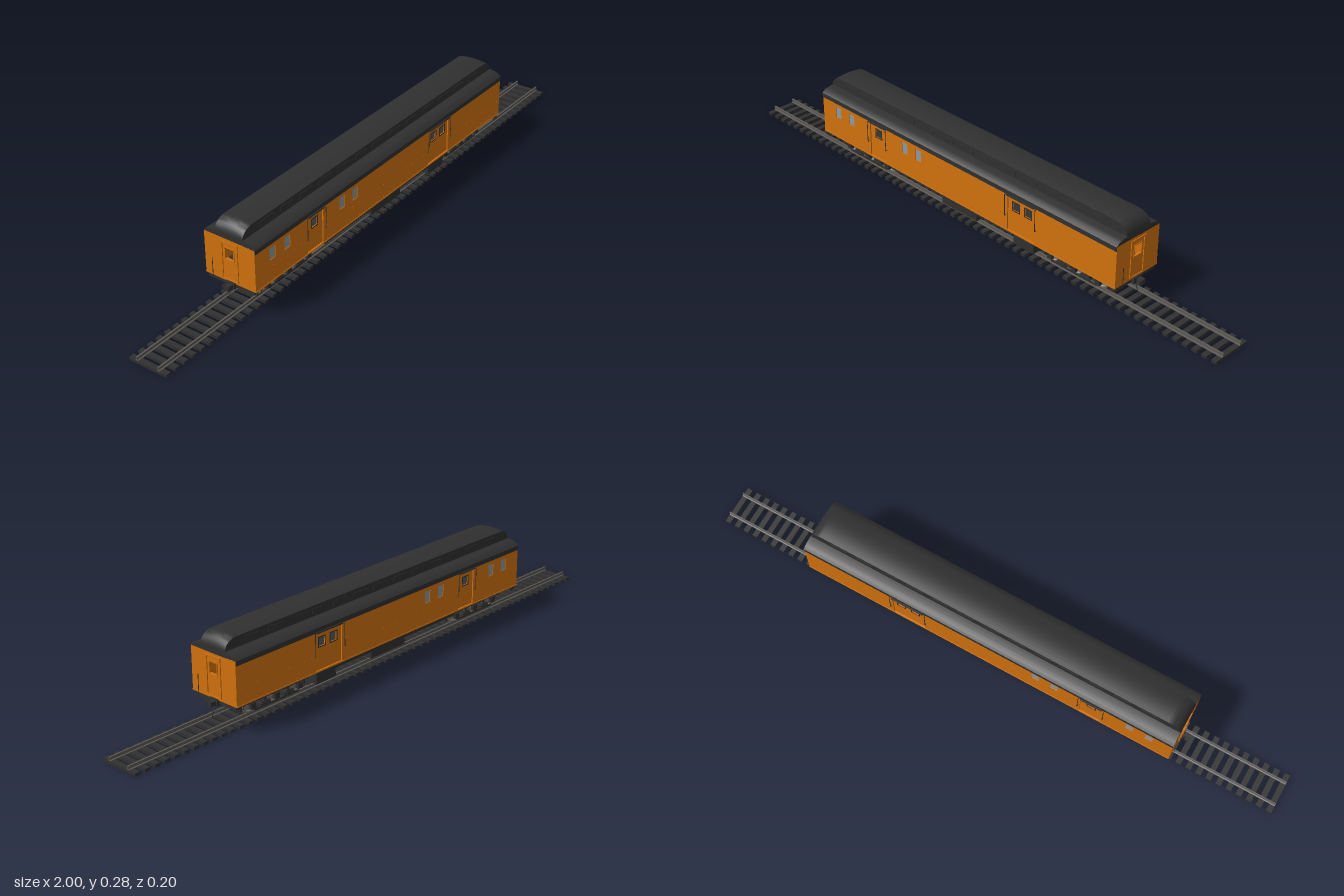
import * as THREE from 'three';
import { mergeGeometries, toCreasedNormals } from 'three/addons/utils/BufferGeometryUtils.js';

const paint = (name, color, extra = {}) => Object.assign(new THREE.MeshStandardMaterial({ color, ...extra }), { name });

// Box from its limits on each axis
function box(x0, x1, y0, y1, z0, z1) {
  return new THREE.BoxGeometry(x1 - x0, y1 - y0, z1 - z0)
    .translate((x0 + x1) / 2, (y0 + y1) / 2, (z0 + z1) / 2);
}

// Round bar between two points
function bar(a, b, r) {
  const path = new THREE.LineCurve3(new THREE.Vector3(...a), new THREE.Vector3(...b));
  return new THREE.TubeGeometry(path, 1, r, 6);
}

// Rectangular panel with rectangular holes, each given as [u0, u1, y0, y1]
function panel(outline, holes, depth) {
  const trace = (path, [a, b, c, d]) => {
    path.moveTo(a, c); path.lineTo(b, c); path.lineTo(b, d); path.lineTo(a, d); path.closePath();
    return path;
  };
  const shape = trace(new THREE.Shape(), outline);
  for (const h of holes) shape.holes.push(trace(new THREE.Path(), h));
  return new THREE.ExtrudeGeometry(shape, { depth, bevelEnabled: false });
}

// Profile of [z, y] points run along x
function alongX(points, x0, x1) {
  const shape = new THREE.Shape(points.map(([z, y]) => new THREE.Vector2(-z, y)));
  return new THREE.ExtrudeGeometry(shape, { depth: x1 - x0, bevelEnabled: false })
    .rotateY(Math.PI / 2).translate(x0, 0, 0);
}

// Skin over cross-sections; each section is a row of [x, y, z]
function loft(rows) {
  const n = rows[0].length, index = [];
  for (let i = 0; i < rows.length - 1; i++) for (let j = 0; j < n - 1; j++) {
    const a = i * n + j, b = a + n;
    index.push(a, b, b + 1, a, b + 1, a + 1);
  }
  const g = new THREE.BufferGeometry();
  g.setAttribute('position', new THREE.Float32BufferAttribute(rows.flat(2), 3));
  g.setIndex(index);
  return toCreasedNormals(g, 0.6);
}

export function createModel() {
  const orange = paint('body orange', 0xd2720d);
  const black = paint('roof black', 0x303030);
  const roofBlack = paint('clerestory black', 0x303030, { side: THREE.DoubleSide });
  const steel = paint('wheel steel', 0x77746f);
  const railGrey = paint('rail grey', 0x5c5955);
  const glass = paint('window glass', 0x8e9aa2);
  const model = new THREE.Group();
  const add = (name, parts, mat, parent = model) => {
    const list = [].concat(parts).map(g => (g.index ? g.toNonIndexed() : g));
    const mesh = new THREE.Mesh(list.length > 1 ? mergeGeometries(list) : list[0], mat);
    mesh.name = name;
    parent.add(mesh);
    return mesh;
  };
  const L = 0.648, W = 0.092, FLOOR = 0.085, EAVE = 0.228;

  // Track: ties and two rails
  const ties = [], count = 58;
  for (let i = 0; i < count; i++) {
    const x = -0.991 + (1.982 * i) / (count - 1);
    ties.push(box(x - 0.009, x + 0.009, 0, 0.01, -0.068, 0.068));
  }
  add('ties', ties, black);
  const railHalf = [[0.005, 0.01], [0.005, 0.012], [0.001, 0.013], [0.001, 0.019], [0.0026, 0.02], [0.0026, 0.023]];
  const railProfile = [...railHalf, ...railHalf.map(([z, y]) => [-z, y]).reverse()];
  for (const s of [1, -1]) add('rail', alongX(railProfile.map(([z, y]) => [z + s * 0.039, y]), -1, 1), railGrey);

  // Side walls with windows, doors and fittings
  const windows = [-0.57, -0.503, -0.243, -0.178].map(x => [x - 0.013, x + 0.013, 0.16, 0.2]);
  const doors = [
    { span: [-0.41, -0.335, 0.09, 0.211], lights: [-0.372] },
    { span: [0.217, 0.33, 0.09, 0.211], lights: [0.25, 0.3] },
  ];
  for (const s of [1, -1]) {
    const layer = (g, inner, depth) => g.translate(0, 0, s > 0 ? inner : -inner - depth);
    const wall = panel([-L, L, FLOOR, EAVE], [...windows, ...doors.map(d => d.span)], 0.006);
    add('sideWall', layer(wall, W - 0.006, 0.006), orange);
    add('letterboard', layer(panel([-L, L, 0.213, EAVE], [], 0.002), W, 0.002), black);
    add('windowPanes', windows.map(([a, b, c, d]) => layer(panel([a, b, c, d], [], 0.002), W - 0.004, 0.002)), glass);
    for (const { span, lights } of doors) {
      const holes = lights.map(x => [x - 0.013, x + 0.013, 0.164, 0.192]);
      add('sideDoor', layer(panel(span, holes, 0.003), W - 0.007, 0.003), orange);
      const frames = holes.map(([a, b, c, d]) => layer(
        panel([a - 0.003, b + 0.003, c - 0.003, d + 0.003], [[a, b, c, d]], 0.001), W - 0.004, 0.001));
      add('doorWindowFrame', frames, black);
      const z = s * 0.098;
      const rails = [layer(panel([span[0], span[1], 0.211, 0.215], [], 0.006), W, 0.006)];
      for (const x of [span[0] - 0.006, span[1] + 0.006]) {
        rails.push(bar([x, 0.137, z], [x, 0.213, z], 0.0011));
        for (const y of [0.138, 0.212]) rails.push(bar([x, y, s * W], [x, y, z], 0.0011));
      }
      add('doorHandrails', rails, black);
    }
    // Rivet rows and lower sill strip
    const rivets = [];
    for (let x = -0.63; x < 0.64; x += 0.0315) {
      if (doors.some(d => x > d.span[0] && x < d.span[1])) continue;
      for (const y of [0.138, 0.097]) rivets.push(layer(panel([x - 0.001, x + 0.001, y - 0.001, y + 0.001], [], 0.001), W, 0.001));
    }
    add('rivets', rivets, orange);
    add('sillStrip', layer(panel([-L, L, FLOOR, 0.089], [], 0.0015), W, 0.0015), orange);
    add('cornerSteps', [-0.63, 0.63].map(x => layer(panel([x - 0.01, x + 0.01, 0.07, 0.086],
      [[x - 0.008, x + 0.008, 0.072, 0.086 - 0.001]], 0.002), W - 0.004, 0.002)), black);
  }

  // End walls, end doors, couplers and hoses
  for (const s of [1, -1]) {
    const end = new THREE.Group();
    end.name = 'carEnd';
    end.rotation.y = s > 0 ? 0 : Math.PI;
    model.add(end);
    const light = [-0.015, 0.015, 0.162, 0.198];
    const face = (o, h, x, d) => panel(o, h, d).rotateY(Math.PI / 2).translate(x, 0, 0);
    add('endWall', face([-W + 0.006, W - 0.006, FLOOR, EAVE], [light], L - 0.006, 0.006), orange, end);
    add('endDoorFrame', [
      face([-0.031, 0.031, 0.093, 0.219], [[-0.025, 0.025, 0.093 + 0.001, 0.213]], L, 0.003),
      face([-0.018, 0.018, 0.159, 0.201], [light], L, 0.002)], orange, end);
    add('brakeRod', bar([L + 0.004, FLOOR, 0.063], [L + 0.004, 0.147, 0.063], 0.001), black, end);
    add('coupler', [
      box(0.62, 0.66, 0.072, 0.082, -0.005, 0.005),
      box(0.655, 0.674, 0.07, 0.085, -0.012, 0.004),
      box(0.662, 0.674, 0.07, 0.085, 0.006, 0.012),
      box(0.64, 0.654, 0.068, 0.088, -0.016, 0.016)], black, end);
    const hose = new THREE.CatmullRomCurve3([[0.645, 0.07, 0.002], [0.655, 0.05, 0.001], [0.66, 0.028, 0]]
      .map(p => new THREE.Vector3(...p)));
    add('airHose', new THREE.TubeGeometry(hose, 8, 0.0013, 6), black, end);
  }

  // Lower roof and raised centre roof with rounded-off ends
  const arc = [];
  for (let k = 0; k <= 16; k++) {
    const z = 0.094 * (1 - k / 8);
    arc.push([z, EAVE + 0.019 * Math.sqrt(Math.max(0, 1 - (z / 0.094) ** 2))]);
  }
  add('lowerRoof', toCreasedNormals(alongX([...arc, [-0.094, 0.226], [0.094, 0.226]], -L, L), 0.6), black);
  const crown = [[0.05, 0]];
  for (let k = 0; k <= 8; k++) crown.push([0.05 * (1 - k / 4), 0.037 + 0.006 * (1 - (1 - k / 4) ** 2)]);
  crown.push([-0.05, 0]);
  const stations = [];
  for (let k = 0; k <= 8; k++) {
    const t = (k / 8) * Math.PI / 2;
    stations.push([L - 0.045 + 0.045 * Math.cos(t), Math.sin(t)]);
  }
  const run = [...stations.map(([x, h]) => [-x, h]), ...stations.slice().reverse()];
  add('clerestory', loft(run.map(([x, h]) => crown.map(([z, y]) => [x, 0.241 + y * h, z]))), roofBlack);
  const vents = [];
  for (let x = -0.54; x < 0.55; x += 0.09) for (const s of [1, -1]) {
    vents.push(box(x - 0.03, x + 0.03, 0.253, 0.268, s * 0.0505 - 0.001, s * 0.0505 + 0.001));
  }
  add('clerestoryVents', vents, black);

  // Floor and equipment hung beneath it
  add('underframe', [
    box(-L + 0.003, L - 0.003, 0.082, 0.087, -0.087, 0.087),
    box(-L + 0.02, L - 0.02, 0.072, 0.083, -0.02, 0.02),
    ...[1, -1].map(s => box(-0.32, 0.32, 0.07, 0.083, s * 0.08 - 0.004, s * 0.08 + 0.004)),
    ...[-0.26, -0.16, 0, 0.12, 0.2].map(x => box(x - 0.004, x + 0.004, 0.07, 0.083, -0.08, 0.08)),
    ...[1, -1].map(s => box(s * 0.637 - 0.008, s * 0.637 + 0.008, 0.072, 0.085, -0.085, 0.085))], black);
  add('equipmentBoxes', [1, -1].flatMap(s => [
    box(-0.08, 0.075, 0.047, 0.08, s * 0.062 - 0.02, s * 0.062 + 0.02),
    box(0.235, 0.318, 0.042, 0.08, s * 0.062 - 0.02, s * 0.062 + 0.02)]), black);
  add('airTank', new THREE.CylinderGeometry(0.014, 0.014, 0.11, 16).rotateZ(Math.PI / 2).translate(-0.2, 0.066, 0.04), black);

  // Two six-wheel trucks
  const wheelProfile = [[0, -0.004], [0.012, -0.004], [0.02, -0.002], [0.022, -0.004], [0.029, -0.004],
    [0.029, -0.0025], [0.0265, -0.001], [0.026, 0.005], [0.022, 0.005], [0.019, 0.002], [0.01, 0.003], [0.008, 0.006], [0, 0.006]];
  for (const cx of [-0.462, 0.462]) {
    const truck = new THREE.Group();
    truck.name = 'truck';
    truck.position.x = cx;
    model.add(truck);
    const axles = [-0.095, 0, 0.095], wheels = [], frame = [];
    for (const x of axles) {
      wheels.push(new THREE.CylinderGeometry(0.004, 0.004, 0.12, 10).rotateX(Math.PI / 2).translate(x, 0.05, 0));
      for (const s of [1, -1]) {
        const profile = wheelProfile.map(([r, y]) => new THREE.Vector2(r, y));
        wheels.push(toCreasedNormals(new THREE.LatheGeometry(profile, 24), 0.6)
          .rotateX(s * Math.PI / 2).translate(x, 0.05, s * 0.039));
        frame.push(box(x - 0.009, x + 0.009, 0.041, 0.06, s * 0.058 - 0.006, s * 0.058 + 0.006));
      }
    }
    for (const s of [1, -1]) {
      const slab = (x0, x1, y0, y1, z, t) => frame.push(box(x0, x1, y0, y1, s * z - t, s * z + t));
      slab(-0.13, 0.13, 0.061, 0.068, 0.056, 0.005);
      slab(-0.09, 0.09, 0.033, 0.038, 0.059, 0.002);
      for (const m of [-0.0475, 0.0475]) {
        slab(m - 0.02, m + 0.02, 0.042, 0.047, 0.062, 0.003);
        slab(m - 0.016, m + 0.016, 0.049, 0.053, 0.062, 0.003);
        slab(m - 0.004, m + 0.004, 0.033, 0.064, 0.06, 0.002);
      }
      for (const e of [-0.128, 0.128]) slab(e - 0.003, e + 0.003, 0.036, 0.068, 0.04, 0.006);
    }
    for (const x of [-0.128, -0.0475, 0.0475, 0.128]) frame.push(box(x - 0.005, x + 0.005, 0.06, 0.068, -0.06, 0.06));
    frame.push(box(-0.05, 0.05, 0.064, 0.075, -0.014, 0.014));
    add('wheelsets', wheels, steel, truck);
    add('truckFrame', frame, black, truck);
  }
  return model;
}
